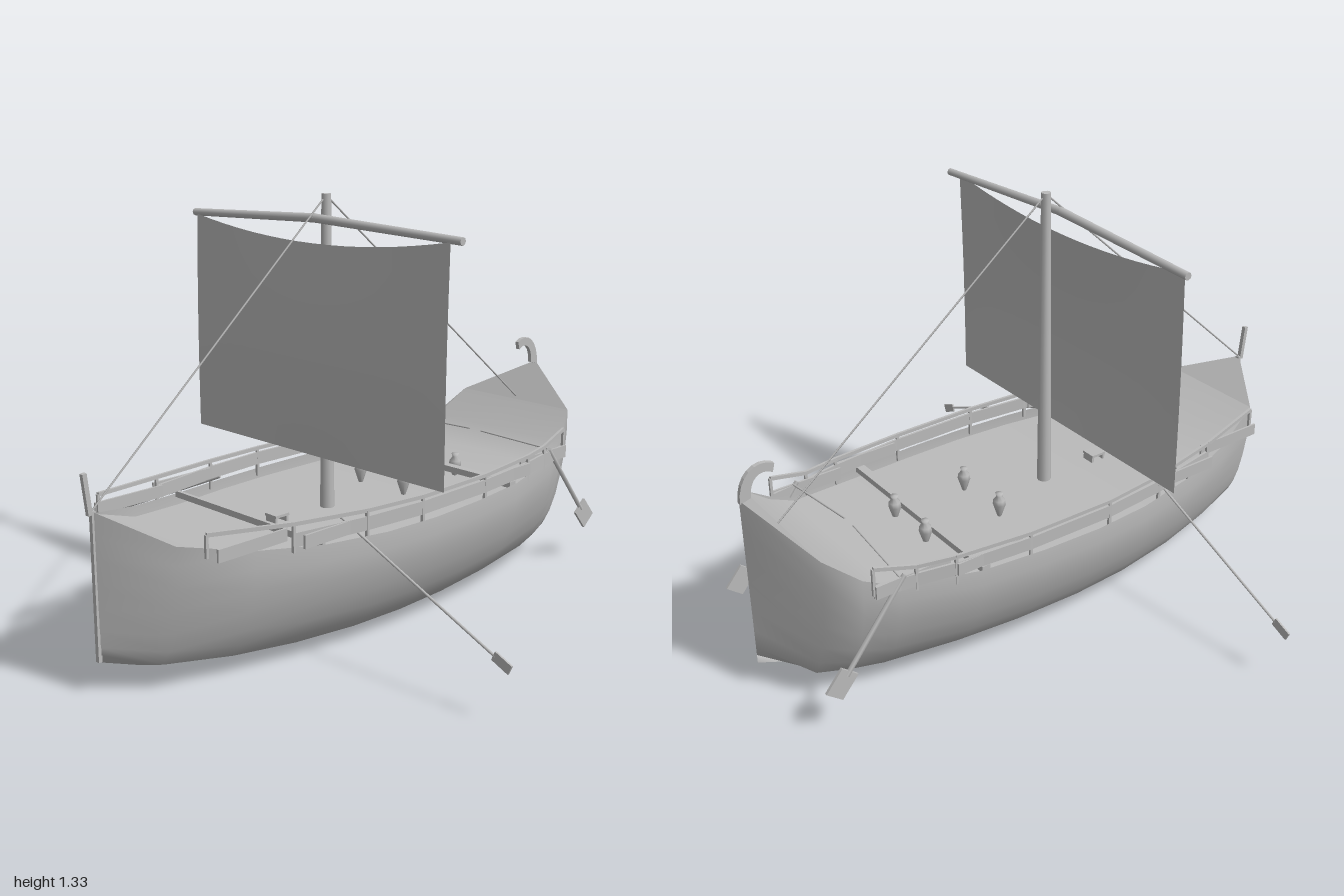
import * as THREE from 'three';

const grey = new THREE.MeshStandardMaterial({ color: 0xbbbbbb });
grey.name = 'plain grey';
const greySheet = new THREE.MeshStandardMaterial({ color: 0xbbbbbb, side: THREE.DoubleSide });
greySheet.name = 'plain grey';

// hull stations: z, half width, gunwale height, keel height, drop of deck below gunwale
const stations = [
  [-0.987, 0, 0.66, 0.095, 0], [-0.87, 0.235, 0.535, 0.045, 0], [-0.77, 0.28, 0.455, 0.037, 0.01],
  [-0.67, 0.315, 0.415, 0.03, 0.03], [-0.42, 0.365, 0.392, 0.018, 0.037], [-0.2, 0.382, 0.386, 0.006, 0.037],
  [0, 0.387, 0.383, 0.003, 0.036], [0.2, 0.375, 0.383, 0.005, 0.036], [0.42, 0.338, 0.39, 0.013, 0.038],
  [0.63, 0.279, 0.41, 0.026, 0.035], [0.84, 0.195, 0.455, 0.048, 0], [0.973, 0, 0.54, 0.1, 0],
];
// cross-section from keel to gunwale: width fraction, height fraction
const section = [[0, 0], [0.32, 0.05], [0.62, 0.1], [0.74, 0.21], [0.84, 0.35], [0.92, 0.52], [0.98, 0.7], [1.005, 0.86], [1, 1]];

const V = (x, y, z) => new THREE.Vector3(x, y, z);

// surface from rows of points
function sheet(rows, flip) {
  const n = rows[0].length, index = [];
  for (let i = 0; i < rows.length - 1; i++) {
    for (let j = 0; j < n - 1; j++) {
      const a = i * n + j, b = a + 1, c = a + n, d = c + 1;
      if (flip) index.push(a, c, b, b, c, d);
      else index.push(a, b, c, b, d, c);
    }
  }
  const g = new THREE.BufferGeometry().setFromPoints(rows.flat());
  g.setIndex(index);
  g.computeVertexNormals();
  return g;
}

export function createModel() {
  const model = new THREE.Group();
  model.name = 'sailingShip';
  const add = (name, geometry, material = grey) => {
    const m = new THREE.Mesh(geometry, material);
    m.name = name;
    model.add(m);
    return m;
  };
  // square-section bar between two points
  const bar = (name, a, b, w, h) => {
    const m = add(name, new THREE.BoxGeometry(w, h, a.distanceTo(b)));
    m.position.copy(a).lerp(b, 0.5);
    m.lookAt(b);
    return m;
  };
  // round pole between two points
  const pole = (name, a, b, r0, r1 = r0, sides = 8) => {
    const m = add(name, new THREE.CylinderGeometry(r1, r0, a.distanceTo(b), sides));
    m.position.copy(a).lerp(b, 0.5);
    m.quaternion.setFromUnitVectors(V(0, 1, 0), b.clone().sub(a).normalize());
    return m;
  };

  // hull halves
  for (const s of [1, -1]) {
    const rows = stations.map(([z, w, top, keel]) =>
      section.map(([fx, fy]) => V(s * w * fx, keel + (top - keel) * fy, z)));
    add(s > 0 ? 'hullLeft' : 'hullRight', sheet(rows, s < 0), greySheet);
  }
  // deck, sunk below the gunwale amidships, and the raised ends
  const deckRows = stations.map(([z, w, top, , drop]) => [-w, 0, w].map((x) => V(x, top - drop, z)));
  add('deck', sheet(deckRows.slice(1, -1), true), greySheet);
  add('sternDeck', sheet(deckRows.slice(0, 2), true), greySheet);
  add('bowDeck', sheet(deckRows.slice(-2), true), greySheet);

  // cross beams
  bar('aftBeam', V(-0.36, 0.39, -0.405), V(0.36, 0.39, -0.405), 0.028, 0.02);
  bar('foreBeam', V(-0.335, 0.39, 0.425), V(0.335, 0.39, 0.425), 0.012, 0.02);

  // railing posts: z, x, height of foot, height of top rail
  const rail = [[0.78, 0.25, 0.42, 0.487], [0.52, 0.313, 0.385, 0.47], [0.27, 0.356, 0.365, 0.461],
    [0.05, 0.375, 0.36, 0.457], [-0.25, 0.37, 0.36, 0.457], [-0.5, 0.346, 0.37, 0.462],
    [-0.62, 0.322, 0.385, 0.466], [-0.75, 0.305, 0.41, 0.5]];
  for (const s of [1, -1]) {
    rail.forEach(([z, x, foot, y], i) => {
      bar('railPost', V(s * x, foot, z), V(s * x, y, z), 0.009, 0.009);
      if (i === 0) return;
      const [z0, x0, , y0] = rail[i - 1];
      bar('topRail', V(s * x0, y0, z0), V(s * x, y, z), 0.009, 0.012);
      if (i > 1) bar('railBoard', V(s * x0, 0.422, z0), V(s * x, 0.422, z), 0.008, 0.042);
    });
    // straight boards overhanging the curved sides
    bar('bowBoard', V(s * 0.284, 0.432, 0.52), V(s * 0.284, 0.432, 0.77), 0.007, 0.038);
    bar('foreBoard', V(s * 0.346, 0.422, 0.28), V(s * 0.346, 0.422, 0.51), 0.007, 0.04);
    bar('aftBoard', V(s * 0.355, 0.422, -0.27), V(s * 0.355, 0.422, -0.5), 0.007, 0.04);
    bar('sternBoard', V(s * 0.316, 0.425, -0.5), V(s * 0.316, 0.425, -0.75), 0.007, 0.042);

    // rowing oar
    pole('oarShaft', V(s * 0.27, 0.432, 0.3), V(s * 0.86, 0.178, 0.3), 0.004, 0.004, 6);
    bar('oarBlade', V(s * 0.855, 0.18, 0.3), V(s * 0.912, 0.155, 0.3), 0.006, 0.03);

    // steering oar with tiller
    pole('steeringShaft', V(s * 0.316, 0.45, -0.655), V(s * 0.316, 0.19, -0.86), 0.008, 0.008, 6);
    bar('steeringBlade', V(s * 0.316, 0.203, -0.85), V(s * 0.316, 0.137, -0.905), 0.009, 0.065);
    pole('tiller', V(s * 0.316, 0.445, -0.67), V(s * 0.025, 0.46, -0.65), 0.003, 0.003, 6);
  }

  // mast, yard halves and stays
  pole('mast', V(0, 0.34, 0.085), V(0, 1.335, 0.085), 0.023, 0.015, 10);
  for (const s of [1, -1]) {
    pole('yard', V(s * 0.575, 1.243, 0.128), V(-s * 0.01, 1.266, 0.138), 0.012, 0.014);
  }
  pole('foreStay', V(0, 1.33, 0.085), V(0, 0.54, 0.97), 0.003, 0.003, 5);
  pole('backStay', V(0, 1.33, 0.085), V(0, 0.535, -0.89), 0.003, 0.003, 5);

  // sail: sagging top edge, slight forward belly
  const sailRows = [];
  for (let i = 0; i <= 10; i++) {
    const v = i / 10, row = [];
    for (let j = 0; j <= 16; j++) {
      const u = j / 8 - 1, top = 1.19 + 0.05 * u * u;
      row.push(V(u * 0.545, 0.53 + (top - 0.53) * v, 0.153 - 0.008 * v + 0.018 * Math.sin(Math.PI * v) * (1 - 0.8 * u * u)));
    }
    sailRows.push(row);
  }
  add('sail', sheet(sailRows, true), greySheet);

  // stem strip and post at the bow
  bar('stemStrip', V(0, 0.1, 0.969), V(0, 0.54, 0.969), 0.014, 0.012);
  bar('stemPost', V(0, 0.53, 0.978), V(0, 0.65, 0.992), 0.014, 0.014);

  // curled stern ornament, drawn in the z-y plane
  const curl = new THREE.Shape();
  curl.moveTo(0.988, 0.65);
  curl.bezierCurveTo(0.99, 0.735, 0.93, 0.78, 0.873, 0.745);
  curl.lineTo(0.88, 0.718);
  curl.bezierCurveTo(0.92, 0.745, 0.955, 0.715, 0.953, 0.66);
  const curlGeo = new THREE.ExtrudeGeometry(curl, { depth: 0.014, bevelEnabled: false, curveSegments: 8 });
  curlGeo.translate(0, 0, -0.007).rotateY(Math.PI / 2);
  add('sternCurl', curlGeo);

  // storage jars
  const jar = [[0, 0], [0.007, 0.002], [0.021, 0.045], [0.019, 0.06], [0.009, 0.074], [0.013, 0.084], [0, 0.084]]
    .map(([x, y]) => new THREE.Vector2(x, y));
  for (const [x, z] of [[-0.09, -0.44], [0.085, -0.44], [-0.1, -0.17], [0.095, -0.17]]) {
    add('jar', new THREE.LatheGeometry(jar, 8)).position.set(x, 0.348, z);
  }

  // small bench on the foredeck
  bar('benchSeat', V(-0.025, 0.372, 0.3), V(0.025, 0.372, 0.3), 0.055, 0.008);
  for (const z of [0.277, 0.323]) bar('benchLeg', V(-0.022, 0.357, z), V(0.022, 0.357, z), 0.008, 0.024);

  return model;
}
